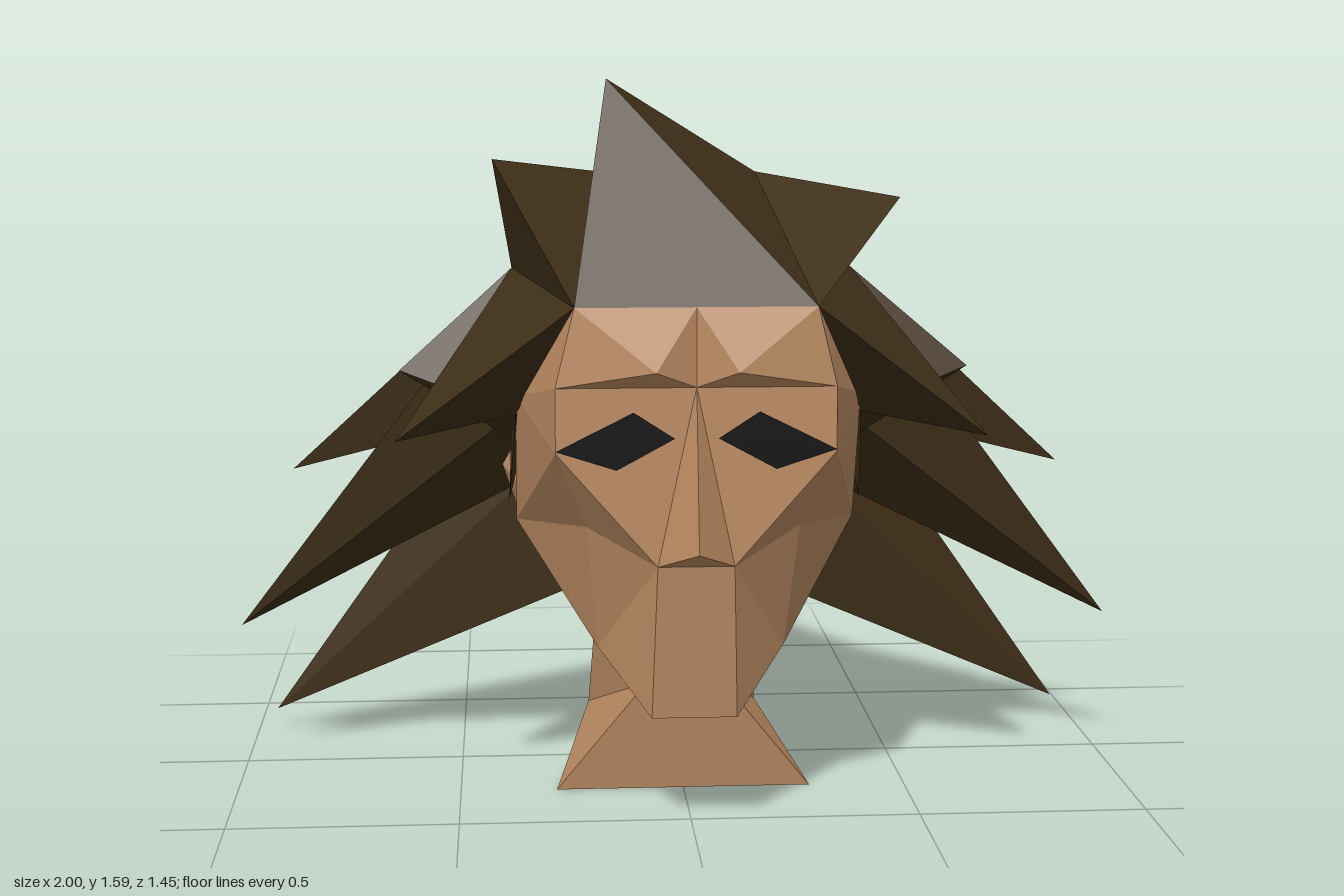
import * as THREE from 'three';

const paint = color => new THREE.MeshStandardMaterial({
  color, flatShading: true, side: THREE.DoubleSide,
});

// Named corners on the +x side; a trailing ' in a face list means the mirrored corner.
const P = {
  // head
  browTop: [0, 1.13, 0.645], bridge: [0, 0.965, 0.645], noseTip: [0, 0.63, 0.725],
  noseBase: [0, 0.59, 0.645], nostril: [0.08, 0.59, 0.645],
  temple: [0.25, 1.13, 0.645], brow: [0.085, 1.0, 0.685], browEnd: [0.29, 0.965, 0.645],
  eyeEnd: [0.29, 0.83, 0.645], cheek: [0.225, 0.66, 0.56], jaw: [0.2, 0.385, 0.49],
  chin: [0.09, 0.255, 0.6], throat: [0.085, 0.255, 0.31],
  sideFront: [0.37, 0.92, 0.43], sideLow: [0.37, 0.63, 0.31], sideTop: [0.36, 1.1, 0.18],
  jawBack: [0.33, 0.53, 0.07], nape: [0.18, 0.41, -0.04], headBack: [0.27, 0.95, -0.1],
  // neck
  neckFront: [0.285, 0, 0.27], neckBack: [0.2, 0.09, -0.145],
  // hair base
  crown: [0.17, 1.375, 0.11], side: [0.375, 1.17, 0.19], rear: [0.29, 1.0, -0.145],
  top: [-0.17, 1.585, 0.31], backTip: [0, 1.045, -0.635],
  bang: [0.37, 0.88, 0.435], burn: [0.38, 0.8, 0.27], overEar: [0.37, 0.84, 0.14],
  behindEar: [0.34, 0.95, 0], lowBack: [0.35, 0.65, -0.05], napeHair: [0.13, 0.45, 0],
  inner: [0.33, 0.9, 0.3],
};

const corner = n => n.endsWith("'")
  ? new THREE.Vector3(...P[n.slice(0, -1)]).multiply(new THREE.Vector3(-1, 1, 1))
  : new THREE.Vector3(...P[n]);

// Mesh from triangles, each turned to face away from a centre point
function facets(name, triangles, centre, material) {
  const pos = [];
  for (const [a, b, c] of triangles) {
    const n = b.clone().sub(a).cross(c.clone().sub(a));
    const out = a.clone().add(b).add(c).divideScalar(3).sub(centre);
    const order = n.dot(out) < 0 ? [a, c, b] : [a, b, c];
    order.forEach(v => pos.push(v.x, v.y, v.z));
  }
  const g = new THREE.BufferGeometry();
  g.setAttribute('position', new THREE.Float32BufferAttribute(pos, 3));
  g.computeVertexNormals();
  const mesh = new THREE.Mesh(g, material);
  mesh.name = name;
  return mesh;
}

// Reads 'a b c, d e f g' (triangles or quads); mirrored adds the other half,
// with the single off-centre top corner shared by both.
function faces(text, mirrored = true) {
  const out = [];
  for (const part of text.split(', ')) {
    const names = part.split(' ');
    const flip = names.map(n => n === 'top' ? n : n + "'");
    for (const list of mirrored ? [names, flip] : [names]) {
      const v = list.map(corner);
      for (let i = 2; i < v.length; i++) out.push([v[0], v[i - 1], v[i]]);
    }
  }
  return out;
}

// Pointed lock or bump: a fan from the tip to a closed base loop
function spike(name, tip, base, material) {
  const t = new THREE.Vector3(...tip);
  const c = base.reduce((s, v) => s.add(v), new THREE.Vector3()).divideScalar(base.length);
  return facets(name, base.map((v, i) => [t, v, base[(i + 1) % base.length]]), c, material);
}

export function createModel() {
  const model = new THREE.Group();
  model.name = 'spikyHairedHead';
  const skin = paint(0xbd8d64), hair = paint(0x3f2f18), black = paint(0x0a0a0a);
  const headCentre = new THREE.Vector3(0, 0.7, 0.3);

  // Forehead and brows
  model.add(facets('forehead', faces(
    'browTop temple brow, browTop brow bridge, temple browEnd brow, brow browEnd bridge'),
  headCentre, skin));

  // Face, from the eyes down to the chin
  model.add(facets('face', [
    ...faces('bridge browEnd eyeEnd, bridge eyeEnd nostril, eyeEnd cheek nostril'),
    ...faces('nostril cheek jaw, nostril jaw chin, nostril chin noseBase'),
    ...faces("noseBase chin chin'", false),
  ], headCentre, skin));

  // Temples and cheeks
  model.add(facets('cheeks', [
    ...faces('temple sideFront browEnd, browEnd sideFront eyeEnd, eyeEnd sideFront sideLow'),
    ...faces('eyeEnd sideLow cheek, cheek sideLow jaw'),
  ], headCentre, skin));

  // Jaw and its underside
  model.add(facets('jaw', [
    ...faces('jaw sideLow throat, jaw throat chin, sideLow jawBack throat, jawBack nape throat'),
    ...faces("chin throat throat' chin'", false),
  ], headCentre, skin));

  // Sides and back of the skull
  model.add(facets('skull', [
    ...faces('temple sideTop sideFront, sideTop sideLow sideFront, sideTop jawBack sideLow'),
    ...faces('sideTop headBack jawBack, headBack nape jawBack'),
    ...faces("headBack headBack' nape' nape", false),
  ], headCentre, skin));

  // Nose
  model.add(facets('nose', faces('bridge nostril noseTip, noseTip nostril noseBase'),
    new THREE.Vector3(0, 0.68, 0.62), skin));

  // Neck
  model.add(facets('neck', [
    ...faces('throat neckFront neckBack, throat neckBack nape'),
    ...faces("throat throat' neckFront' neckFront, nape nape' neckBack' neckBack", false),
    ...faces("neckFront neckFront' neckBack' neckBack", false),
  ], new THREE.Vector3(0, 0.2, 0.1), skin));

  // Eyes and ears
  for (const s of [1, -1]) {
    const v = (x, y, z) => new THREE.Vector3(s * x, y, z);
    const e = [v(0.29, 0.835, 0.651), v(0.13, 0.915, 0.651),
      v(0.045, 0.86, 0.651), v(0.165, 0.795, 0.651)];
    model.add(facets(s > 0 ? 'leftEye' : 'rightEye',
      [[e[0], e[1], e[2]], [e[0], e[2], e[3]]], v(0.16, 0.85, 0.5), black));
    model.add(spike(s > 0 ? 'leftEar' : 'rightEar', [s * 0.4, 0.72, 0.13],
      [v(0.35, 0.82, 0.2), v(0.365, 0.7, 0.27), v(0.355, 0.6, 0.2), v(0.34, 0.7, 0.08)], skin));
  }

  // Hair cap with the swept-back top
  model.add(facets('hairCap', [
    ...faces('top temple crown, crown rear backTip, crown side rear, temple crown side'),
    ...faces("top temple temple', top crown crown'", false),
    ...faces("crown crown' backTip, rear rear' backTip", false),
  ], new THREE.Vector3(0, 1.0, 0.15), hair));

  // Uneven tufts on top
  const loop = (text, suffix = '') => text.split(' ').map(n => corner(n + suffix));
  model.add(spike('leftTopTuft', [0.455, 1.335, 0.39], loop('temple crown side'), hair));
  model.add(spike('rightTopTuft', [-0.415, 1.415, 0.32], loop('temple crown side', "'"), hair));

  // Side locks, mirrored
  const locks = [
    ['bangLock', [0.62, 0.845, 0.56], 'temple side bang'],
    ['templeLock', [0.62, 0.96, 0.31], 'side bang burn overEar'],
    ['sideburn', [0.385, 0.67, 0.31], 'bang burn inner'],
    ['upperSideLock', [0.87, 0.71, 0.1], 'side overEar behindEar'],
    ['middleSideLock', [1.0, 0.34, 0.06], 'side overEar lowBack rear'],
    ['lowerSideLock', [0.955, 0.05, -0.27], 'rear lowBack napeHair'],
  ];
  for (const [name, tip, base] of locks) {
    model.add(spike(name + 'Left', tip, loop(base), hair));
    model.add(spike(name + 'Right', [-tip[0], tip[1], tip[2]], loop(base, "'"), hair));
  }

  // Long lock down the back
  model.add(spike('backLock', [0, 0.01, -0.725], loop("rear napeHair napeHair' rear'"), hair));
  return model;
}
